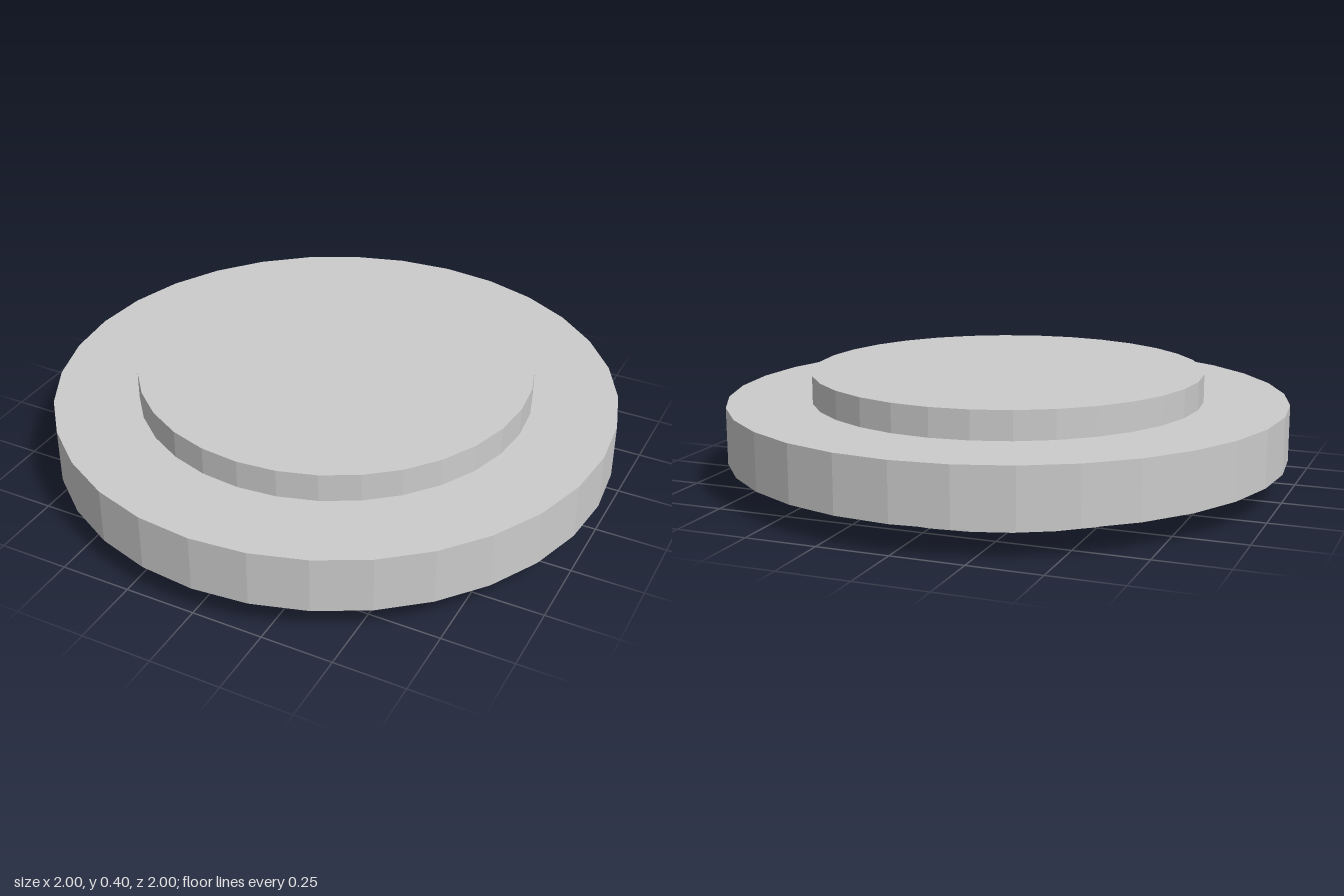
import * as THREE from 'three';

const SIDES = 32;

export function createModel() {
  const group = new THREE.Group();
  const material = new THREE.MeshStandardMaterial({ color: 0xcccccc, flatShading: true });

  // Faceted disc standing on height y
  function disc(name, radius, height, y) {
    const mesh = new THREE.Mesh(new THREE.CylinderGeometry(radius, radius, height, SIDES), material);
    mesh.name = name;
    mesh.position.y = y + height / 2;
    group.add(mesh);
  }

  disc('bottomDisc', 0.7, 0.1, 0); // narrow step below the rim
  disc('rimDisc', 1, 0.2, 0.1); // wide middle disc
  disc('topDisc', 0.7, 0.1, 0.3); // narrow step above the rim

  return group;
}
